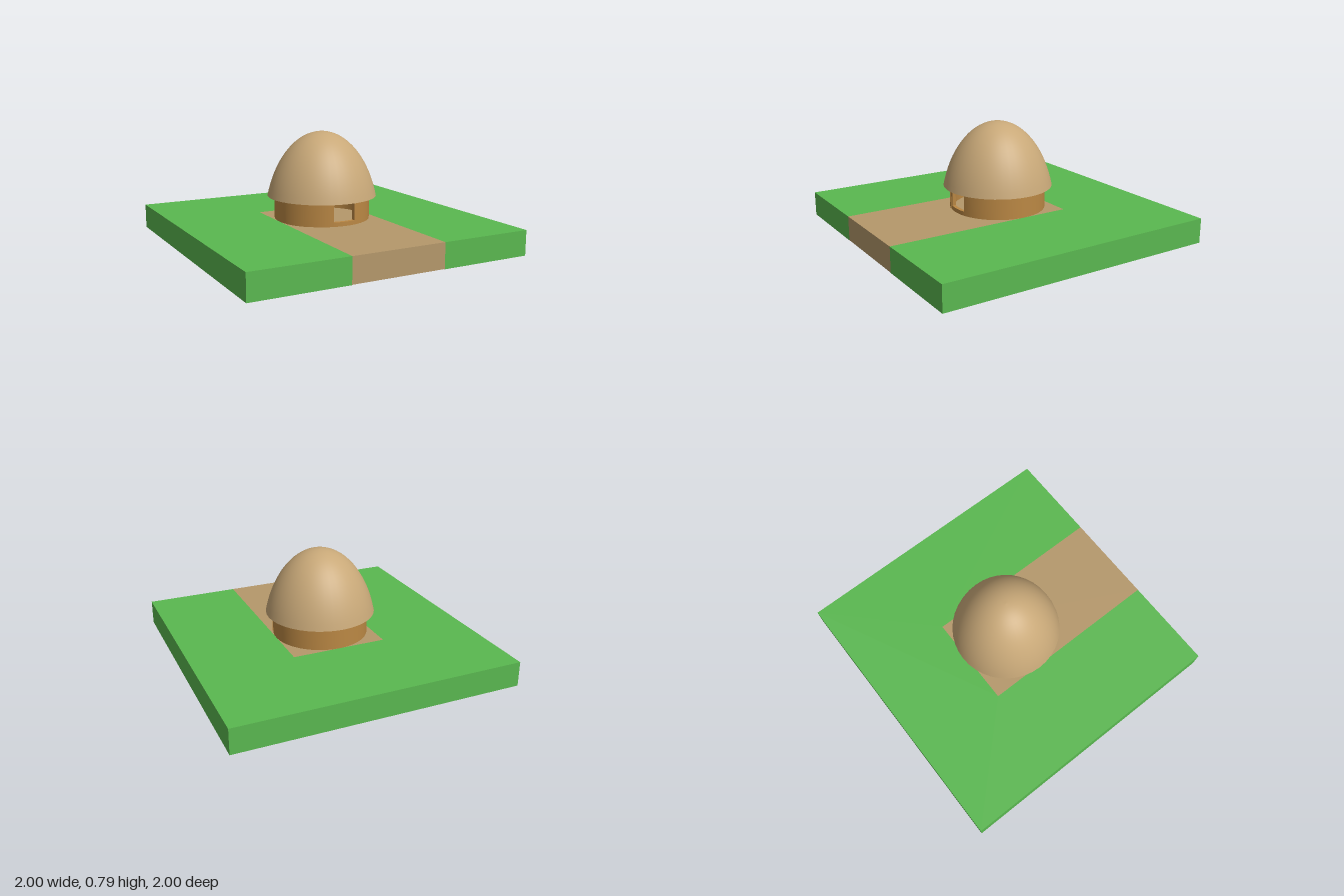
import * as THREE from 'three';
import { toCreasedNormals } from 'three/addons/utils/BufferGeometryUtils.js';

const mat = (color, side = THREE.FrontSide) => new THREE.MeshStandardMaterial({ color, side });

const GROUND = 0.175;     // height of the slab
const PATH = 0.335;       // half width of the path
const WALL = 0.335;       // outer wall radius
const EAVE = 0.335;       // height of the roof edge

// Part of a ring lying flat, from angle a0 to a1 measured from +z towards +x
function ringSector(rIn, rOut, a0, a1, y, height) {
  const s = new THREE.Shape();
  s.absarc(0, 0, rOut, a0 - Math.PI / 2, a1 - Math.PI / 2, false);
  s.absarc(0, 0, rIn, a1 - Math.PI / 2, a0 - Math.PI / 2, true);
  const g = new THREE.ExtrudeGeometry(s, { depth: height, bevelEnabled: false, curveSegments: 40 });
  g.rotateX(-Math.PI / 2).translate(0, y, 0);
  return toCreasedNormals(g, 0.6);
}

export function createModel() {
  const model = new THREE.Group();
  model.name = 'roundHut';
  const add = (name, geometry, material, parent = model) => {
    const mesh = new THREE.Mesh(geometry, material);
    mesh.name = name;
    parent.add(mesh);
    return mesh;
  };
  const green = mat(0x5ab850);
  const earth = mat(0xb5986b);
  const wood = mat(0xbb8844);

  // Grass slab with a notch for the path, open to the front
  const lawn = new THREE.Shape([
    [-1, -1], [-PATH, -1], [-PATH, PATH], [PATH, PATH],
    [PATH, -1], [1, -1], [1, 1], [-1, 1],
  ].map(([x, y]) => new THREE.Vector2(x, y)));
  const lawnGeo = new THREE.ExtrudeGeometry(lawn, { depth: GROUND, bevelEnabled: false });
  add('grass', lawnGeo.rotateX(-Math.PI / 2), green);

  // Earth path filling the notch, with the grass block's underside below it
  const length = 1 + PATH;
  const middle = (1 - PATH) / 2;
  add('path', new THREE.BoxGeometry(PATH * 2, GROUND - 0.002, length)
    .translate(0, (GROUND + 0.002) / 2, middle), earth);
  add('underside', new THREE.PlaneGeometry(PATH * 2, length)
    .rotateX(Math.PI / 2).translate(0, 0, middle), green);

  // Round wall with a doorway at the front and a low sill across it
  const walls = new THREE.Group();
  walls.name = 'walls';
  model.add(walls);
  const door = Math.asin(0.08 / WALL);
  add('wall', ringSector(WALL - 0.025, WALL, door, Math.PI * 2 - door, GROUND, 0.175), wood, walls);
  add('doorSill', ringSector(WALL - 0.025, WALL, -door, door, GROUND, 0.03), wood, walls);

  // Slightly raised wall boards: centre angle and half width
  for (const [angle, half] of [[-0.46, 0.11], [-1.05, 0.24], [1.17, 0.055]]) {
    add('wallBoard', ringSector(WALL - 0.01, WALL + 0.004, angle - half, angle + half, GROUND, EAVE - GROUND), wood, walls);
  }

  // Thatched dome: upper part of a tall ellipsoid
  const centre = 0.12, tall = 0.668, wide = 0.406;
  const start = Math.asin((EAVE - centre) / tall);
  const profile = [];
  for (let i = 0; i <= 18; i++) {
    const t = start + (Math.PI / 2 - start) * i / 18;
    profile.push(new THREE.Vector2(Math.max(0, wide * Math.cos(t)), centre + tall * Math.sin(t)));
  }
  add('roof', new THREE.LatheGeometry(profile, 40), mat(0xc8a878, THREE.DoubleSide));

  return model;
}
